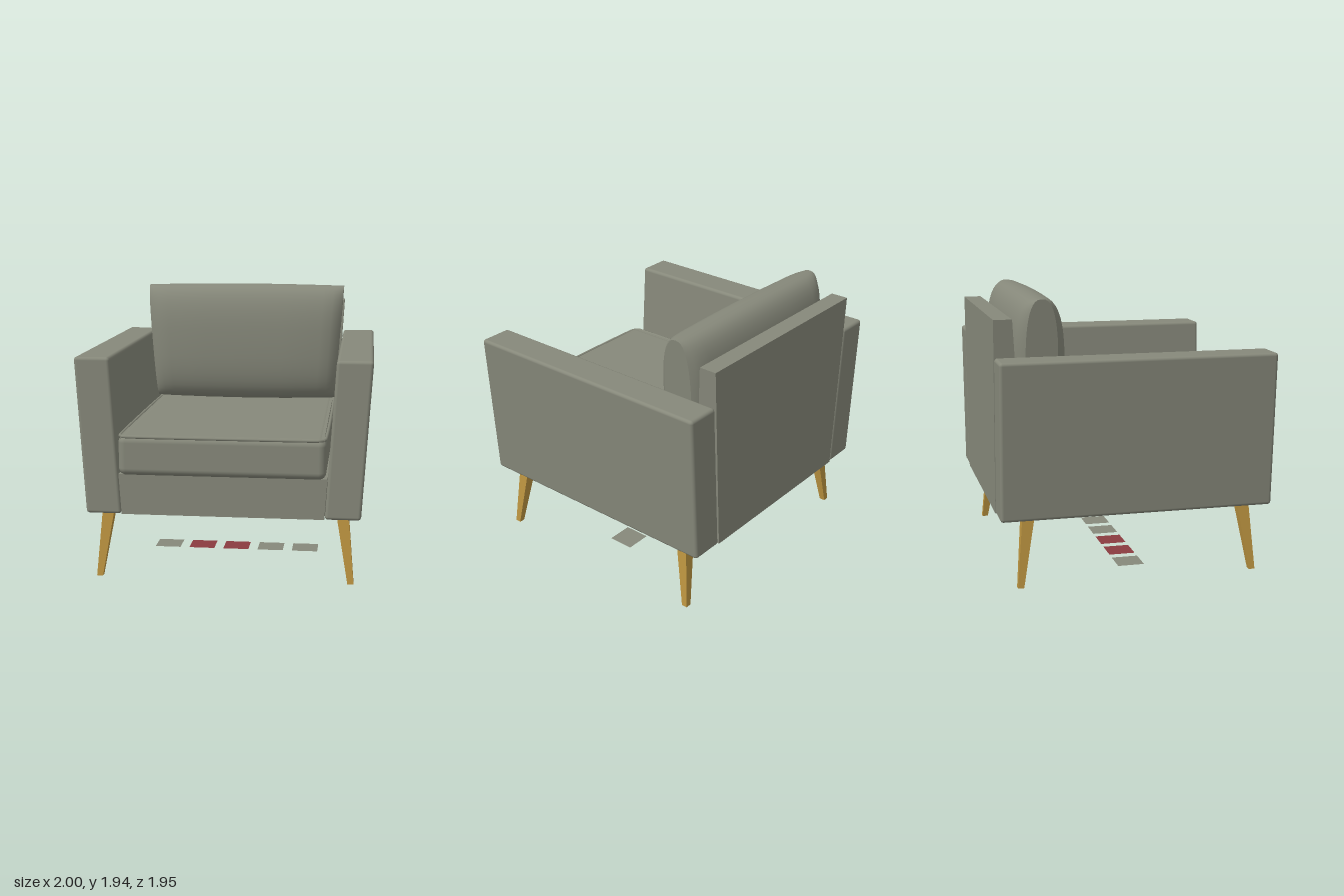
import * as THREE from 'three';
import { RoundedBoxGeometry } from 'three/addons/geometries/RoundedBoxGeometry.js';
import { toCreasedNormals } from 'three/addons/utils/BufferGeometryUtils.js';

const material = (name, color, side = THREE.FrontSide) =>
  Object.assign(new THREE.MeshStandardMaterial({ color, side }), { name });

// Box whose bottom and top rectangles differ: [x0, x1, z0, z1] at y0 and y1
function taperedBox(y0, bottom, y1, top) {
  const geo = new THREE.BoxGeometry(1, 1, 1);
  const p = geo.attributes.position;
  for (let i = 0; i < p.count; i++) {
    const r = p.getY(i) > 0 ? top : bottom;
    p.setXYZ(i, p.getX(i) > 0 ? r[1] : r[0], p.getY(i) > 0 ? y1 : y0, p.getZ(i) > 0 ? r[3] : r[2]);
  }
  geo.computeVertexNormals();
  return geo;
}

// Pillow lofted along x from superellipse sections, wider towards the top
function backPillow() {
  const stations = [[-1, 0.58], [-0.96, 0.76], [-0.9, 0.88], [-0.8, 0.95], [-0.4, 0.985], [0, 1],
    [0.4, 0.985], [0.8, 0.95], [0.9, 0.88], [0.96, 0.76], [1, 0.58]];
  const n = 40, pos = [], idx = [];
  const power = (v) => Math.sign(v) * Math.abs(v) ** (2 / 2.6);
  const addPoint = (u, y, z) => pos.push(u * (0.7 + 0.072 * (y - 1.04)), y, z);
  for (const [u, depth] of stations) {
    const halfHeight = 0.452 - 0.012 * u * u;
    for (let j = 0; j < n; j++) {
      const a = (j / n) * Math.PI * 2;
      addPoint(u, 1.487 + halfHeight * power(Math.sin(a)), -0.65 + 0.19 * depth * power(Math.cos(a)));
    }
  }
  for (let i = 0; i < stations.length - 1; i++)
    for (let j = 0; j < n; j++) {
      const a = i * n + j, b = i * n + (j + 1) % n;
      idx.push(a, b, b + n, a, b + n, a + n);
    }
  // flat ends
  const last = (stations.length - 1) * n, c = stations.length * n;
  addPoint(-1, 1.487, -0.65);
  addPoint(1, 1.487, -0.65);
  for (let j = 0; j < n; j++) {
    const k = (j + 1) % n;
    idx.push(c, k, j, c + 1, last + j, last + k);
  }
  // choose the winding that faces outwards
  let volume = 0;
  const v = (i) => new THREE.Vector3().fromArray(pos, i * 3);
  for (let i = 0; i < idx.length; i += 3) volume += v(idx[i]).dot(v(idx[i + 1]).cross(v(idx[i + 2])));
  if (volume < 0) idx.reverse();
  const geo = new THREE.BufferGeometry();
  geo.setAttribute('position', new THREE.Float32BufferAttribute(pos, 3));
  geo.setIndex(idx);
  return toCreasedNormals(geo, 0.7);
}

// Piping loop around a rounded rectangle
function piping(x, z0, z1, r, y) {
  const path = new THREE.CurvePath();
  const pts = [];
  for (const [cx, cz, start] of [[x - r, z1 - r, 0], [-x + r, z1 - r, 1], [-x + r, z0 + r, 2], [x - r, z0 + r, 3]])
    for (let i = 0; i <= 4; i++) {
      const a = (start + i / 4) * Math.PI / 2;
      pts.push(new THREE.Vector3(cx + r * Math.cos(a), y, cz + r * Math.sin(a)));
    }
  pts.forEach((p, i) => path.add(new THREE.LineCurve3(p, pts[(i + 1) % pts.length])));
  return new THREE.TubeGeometry(new THREE.CatmullRomCurve3(pts, true, 'centripetal'), 160, 0.011, 8, true);
}

export function createModel() {
  const fabric = material('greyGreenFabric', 0x86887a);
  const wood = material('lightWood', 0xbc9440);
  const fabricTag = material('greyGreenTag', 0x86887a, THREE.DoubleSide);
  const redTag = material('redTag', 0x8a3c40, THREE.DoubleSide);

  const model = new THREE.Group();
  model.name = 'armchair';
  const add = (name, geo, mat) => {
    const mesh = new THREE.Mesh(geo, mat);
    mesh.name = name;
    model.add(mesh);
    return mesh;
  };

  // Frame
  add('seatBase', taperedBox(0.475, [-0.69, 0.69, -0.9, 0.915], 0.755, [-0.708, 0.708, -0.9, 0.915]), fabric);
  add('backPanel', taperedBox(0.475, [-0.69, 0.69, -0.975, -0.77], 1.8, [-0.765, 0.765, -0.975, -0.85]), fabric);

  // Cushions
  const seat = new RoundedBoxGeometry(1.4, 0.275, 1.77, 5, 0.05);
  seat.translate(0, 0.8925, 0.085);
  add('seatCushion', seat, fabric);
  add('seatTopPanel', taperedBox(0.98, [-0.685, 0.685, -0.78, 0.95], 1.028, [-0.685, 0.685, -0.78, 0.95]), fabric);
  add('seatPiping', piping(0.692, -0.79, 0.958, 0.05, 1.022), fabric);
  add('backCushion', backPillow(), fabric);

  for (const side of [1, -1]) {
    const label = side > 0 ? 'left' : 'right';
    // Arms lean outwards
    const arm = new RoundedBoxGeometry(0.242, 1.075, 1.895, 4, 0.022);
    arm.translate(side * 0.814, 0.5375, -0.0275);
    arm.applyMatrix4(new THREE.Matrix4().set(1, side * 0.061, 0, 0, 0, 1, 0, 0.475, 0, 0, 1, 0, 0, 0, 0, 1));
    add(label + 'Arm', arm, fabric);

    // Splayed tapered legs
    const rect = (x, z, h) => [side * x - h, side * x + h, z - h, z + h];
    add(label + 'FrontLeg', taperedBox(0, rect(0.872, 0.805, 0.021), 0.49, rect(0.808, 0.74, 0.042)), wood);
    add(label + 'BackLeg', taperedBox(0, rect(0.872, -0.84, 0.021), 0.49, rect(0.808, -0.775, 0.042)), wood);
  }

  // Row of flat square tags on the ground
  for (let i = -2; i <= 2; i++) {
    const tag = new THREE.PlaneGeometry(0.19, 0.19).rotateX(-Math.PI / 2);
    tag.translate(i * 0.2585, 0.001, 0);
    add('groundTag' + (i + 3), tag, i === 0 || i === -1 ? redTag : fabricTag);
  }
  return model;
}
